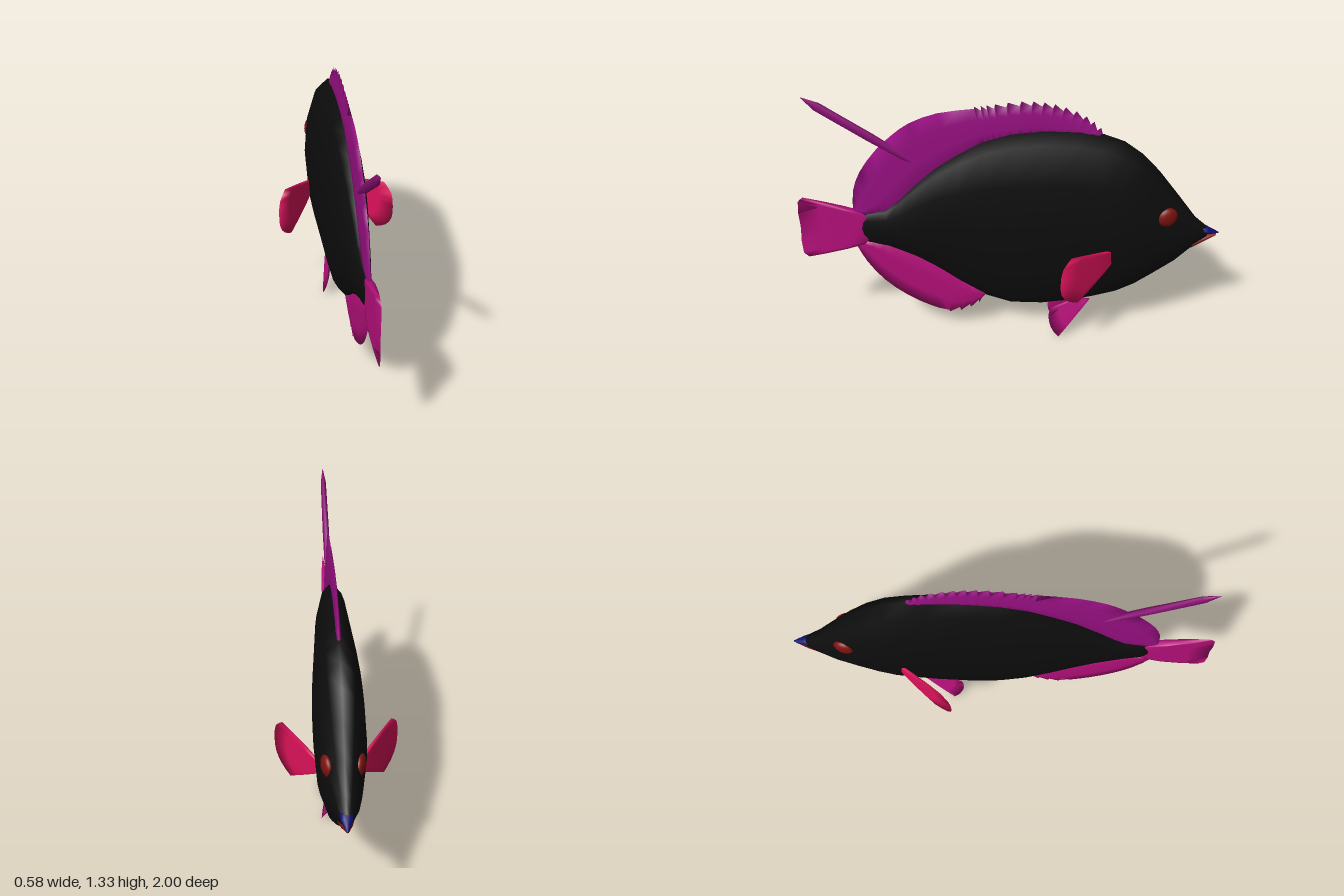
import * as THREE from 'three';

const mat = (name, color) => {
  const m = new THREE.MeshStandardMaterial({ color });
  m.name = name;
  return m;
};

// Skin closed rings of points into a smooth solid with pointed caps, facing outward
function loft(rings) {
  const n = rings[0].length, pts = rings.flat(), idx = [];
  const centre = (r) => r.reduce((s, p) => s.add(p), new THREE.Vector3()).divideScalar(n);
  for (let i = 0; i < rings.length - 1; i++) {
    for (let j = 0; j < n; j++) {
      const a = i * n + j, b = i * n + (j + 1) % n;
      idx.push(a, b, a + n, b, b + n, a + n);
    }
  }
  const first = pts.length, last = first + 1, end = (rings.length - 1) * n;
  pts.push(centre(rings[0]), centre(rings[rings.length - 1]));
  for (let j = 0; j < n; j++) {
    const k = (j + 1) % n;
    idx.push(first, k, j, last, end + j, end + k);
  }
  // flip the faces if the enclosed volume comes out negative
  let volume = 0;
  const c = new THREE.Vector3();
  for (let i = 0; i < idx.length; i += 3) {
    volume += pts[idx[i]].dot(c.crossVectors(pts[idx[i + 1]], pts[idx[i + 2]]));
  }
  if (volume < 0) idx.reverse();
  const g = new THREE.BufferGeometry().setFromPoints(pts);
  g.setIndex(idx);
  g.computeVertexNormals();
  return g;
}

// Twelve-sided oval section across the body
function oval([z, top, bottom, halfWidth]) {
  return Array.from({ length: 12 }, (_, i) => {
    const a = i * Math.PI / 6;
    return new THREE.Vector3(halfWidth * Math.cos(a),
      (top + bottom) / 2 + (top - bottom) / 2 * Math.sin(a), z);
  });
}

// Thin lens-shaped fin between an outer edge and a base edge.
// stations: [outerU, outerV, baseU, baseV]; place(u, v, w) puts a point in space
function fin(stations, halfWidth, place, teethFrom = Infinity, teeth = 0) {
  const last = stations.length - 1;
  const curve = (k) => new THREE.CatmullRomCurve3(
    stations.map((s) => new THREE.Vector3(s[k], s[k + 1], 0)), false, 'centripetal');
  const outer = curve(0), base = curve(2);
  const samples = [];
  const plainEnd = Math.min(teethFrom, last);
  for (let i = 0; i <= plainEnd * 2; i++) samples.push([i / 2 / last, 0]);
  for (let i = 0; i < teeth; i++) {
    const at = (f) => (teethFrom + (last - teethFrom) * f / teeth) / last;
    samples.push([at(i + 0.12), 0.01], [at(i + 0.95), -0.012]);
  }
  if (teeth) samples.push([1, 0]);
  const section = [[0, 0], [0.3, 0.6], [0.7, 1], [1, 0.8], [1, -0.8], [0.7, -1], [0.3, -0.6]];
  return loft(samples.map(([u, push]) => {
    const a = outer.getPoint(u), b = base.getPoint(u);
    a.add(a.clone().sub(b).normalize().multiplyScalar(push));
    return section.map(([t, w]) => {
      const p = a.clone().lerp(b, t);
      return place(p.x, p.y, w * halfWidth);
    });
  }));
}

export function createModel() {
  const black = mat('body black', 0x0d0d0d);
  const purple = mat('dorsal purple', 0x981082);
  const plum = mat('ray plum', 0x8a0f74);
  const magenta = mat('fin magenta', 0xb8107c);
  const crimson = mat('pectoral crimson', 0xdc125a);
  const darkRed = mat('eye dark red', 0x7c120e);
  const blue = mat('beak blue', 0x10106e);

  const model = new THREE.Group();
  const add = (name, geometry, material) => {
    const m = new THREE.Mesh(geometry, material);
    m.name = name;
    model.add(m);
    return m;
  };

  // Body: [z, top, bottom, half width] from snout to tail root
  add('body', loft([
    [-0.94, 0.618, 0.565, 0.026], [-0.88, 0.675, 0.515, 0.048], [-0.79, 0.8, 0.42, 0.074],
    [-0.69, 0.935, 0.34, 0.096], [-0.61, 1.025, 0.28, 0.11], [-0.52, 1.095, 0.235, 0.118],
    [-0.42, 1.135, 0.208, 0.117], [-0.32, 1.16, 0.185, 0.115], [-0.155, 1.17, 0.167, 0.109],
    [0, 1.155, 0.175, 0.1], [0.13, 1.115, 0.225, 0.09], [0.25, 1.045, 0.31, 0.079],
    [0.35, 0.975, 0.39, 0.068], [0.46, 0.87, 0.465, 0.053], [0.53, 0.795, 0.5, 0.043],
    [0.59, 0.745, 0.528, 0.034], [0.68, 0.728, 0.55, 0.02], [0.715, 0.69, 0.585, 0.013],
  ].map(oval)), black);

  // Beak
  add('upperBeak', loft([[-0.91, 0.636, 0.58, 0.033], [-0.95, 0.613, 0.578, 0.024],
    [-1, 0.586, 0.579, 0.003]].map(oval)), blue);
  add('lowerBeak', loft([[-0.87, 0.555, 0.505, 0.036], [-0.93, 0.574, 0.538, 0.026],
    [-0.988, 0.579, 0.567, 0.006]].map(oval)), darkRed);

  // Fins on the centre plane
  const upright = (z, y, w) => new THREE.Vector3(w, y, z);
  add('dorsalFin', fin([
    [0.745, 0.745, 0.72, 0.71], [0.735, 0.85, 0.62, 0.72], [0.7, 0.945, 0.56, 0.75],
    [0.62, 1.06, 0.47, 0.84], [0.54, 1.14, 0.4, 0.91], [0.46, 1.2, 0.34, 0.96],
    [0.33, 1.25, 0.25, 1.02], [0.165, 1.27, 0.12, 1.09], [0.085, 1.28, 0.05, 1.11],
    [-0.075, 1.295, -0.07, 1.13], [-0.21, 1.275, -0.19, 1.13], [-0.34, 1.215, -0.3, 1.13],
    [-0.43, 1.13, -0.4, 1.1],
  ], 0.011, upright, 7, 14), purple);
  add('analFin', fin([
    [0.74, 0.53, 0.7, 0.56], [0.7, 0.44, 0.6, 0.54], [0.62, 0.325, 0.5, 0.49],
    [0.515, 0.23, 0.42, 0.45], [0.41, 0.165, 0.33, 0.4], [0.31, 0.128, 0.27, 0.34],
    [0.22, 0.145, 0.2, 0.29], [0.15, 0.19, 0.13, 0.26], [0.13, 0.235, 0.1, 0.26],
  ], 0.011, upright, 5, 5), magenta);
  add('tailFin', fin([
    [0.975, 0.81, 0.7, 0.722], [1, 0.785, 0.68, 0.7], [1, 0.64, 0.66, 0.64],
    [1, 0.495, 0.68, 0.575], [0.975, 0.47, 0.7, 0.548],
  ], 0.016, upright), magenta);

  // Long trailing ray: [distance, half height, half thickness]
  const dir = new THREE.Vector3(0, 0.38, 0.54).normalize();
  const up = new THREE.Vector3(0, dir.z, -dir.y);
  add('trailingRay', loft([[0, 0.002, 0.003], [0.13, 0.016, 0.015], [0.3, 0.023, 0.016],
    [0.58, 0.023, 0.013], [0.66, 0.002, 0.001]].map(([d, h, w]) =>
    Array.from({ length: 8 }, (_, i) => {
      const a = i * Math.PI / 4;
      return new THREE.Vector3(w * Math.cos(a), 0.955, 0.39)
        .addScaledVector(dir, d).addScaledVector(up, h * Math.sin(a));
    }))), plum);

  // Paired parts
  for (const [side, label] of [[1, 'left'], [-1, 'right']]) {
    add(label + 'PectoralFin', fin([
      [0.25, 0.62, 0, 0.55], [0.3, 0.575, 0, 0.54], [0.313, 0.5, 0, 0.52],
      [0.305, 0.43, 0, 0.5], [0.265, 0.375, 0, 0.485], [0.2, 0.338, 0, 0.475],
    ], 0.007, (s, y, w) => new THREE.Vector3(
      side * (0.1 + 0.6 * s + 0.8 * w), y, -0.475 + 0.8 * s - 0.6 * w)), crimson);

    add(label + 'PelvicFin', fin([
      [-0.2, 0.165, -0.35, 0.225], [-0.188, 0.13, -0.355, 0.22], [-0.192, 0.08, -0.36, 0.215],
      [-0.21, 0.035, -0.37, 0.21], [-0.238, 0.002, -0.39, 0.21],
    ], 0.005, (z, y, w) => new THREE.Vector3(side * (0.03 + (0.2 - y) * 0.21 + w), y, z)), magenta);

    const eye = add(label + 'Eye', new THREE.SphereGeometry(0.05, 16, 12), darkRed);
    eye.scale.x = 0.5;
    eye.position.set(side * 0.07, 0.72, -0.735);
    eye.rotation.y = side * 0.28;
  }
  return model;
}
